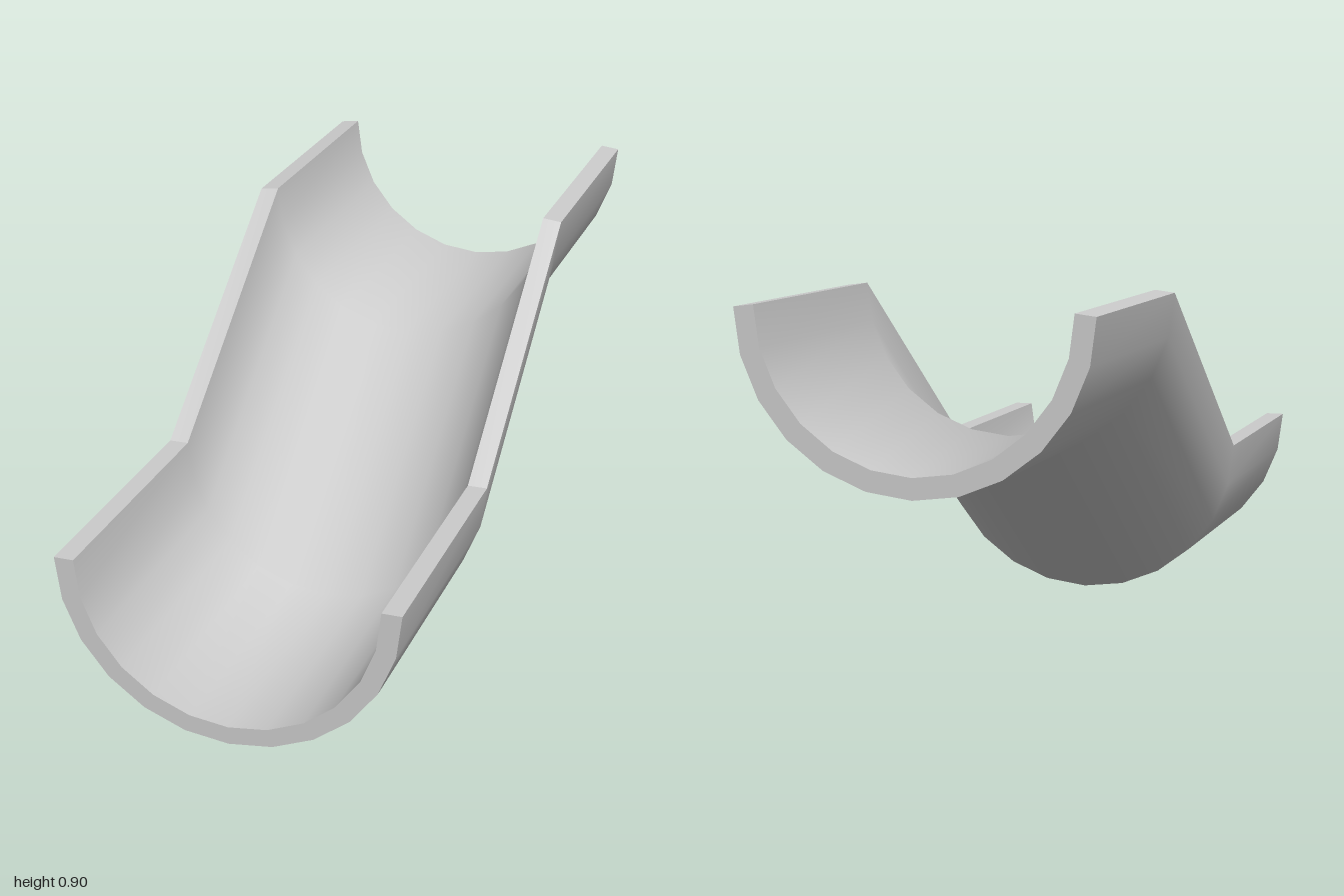
import * as THREE from 'three';

const SEGMENTS = 12;
const RIM = 0.42; // rim height of the lower run

// Stations along the trough: z, lift of the outer skin, lift of the inner skin
const STATIONS = [
  [1, 0, 0],
  [0.333, 0, 0],
  [-0.333, 0.47, 0.476],
  [-1, 0.47, 0.476],
];

// Half-round cross-section from -x to +x through the bottom
function arc(rx, ry, lift, z) {
  return Array.from({ length: SEGMENTS + 1 }, (_, i) => {
    const a = (i / SEGMENTS) * Math.PI;
    return new THREE.Vector3(-rx * Math.cos(a), RIM + lift - ry * Math.sin(a), z);
  });
}

// Smooth sheet through rows of points
function sheet(name, rows, material) {
  const cols = rows[0].length;
  const index = [];
  for (let r = 0; r < rows.length - 1; r++) {
    for (let c = 0; c < cols - 1; c++) {
      const a = r * cols + c;
      index.push(a, a + 1, a + cols, a + 1, a + cols + 1, a + cols);
    }
  }
  const geometry = new THREE.BufferGeometry().setFromPoints(rows.flat());
  geometry.setIndex(index);
  geometry.computeVertexNormals();
  const mesh = new THREE.Mesh(geometry, material);
  mesh.name = name;
  return mesh;
}

export function createModel() {
  const material = new THREE.MeshStandardMaterial({ color: 0xcccccc });
  const outer = STATIONS.map(([z, lift]) => arc(0.425, 0.42, lift, z));
  const inner = STATIONS.map(([z, , lift]) => arc(0.376, 0.375, lift, z));
  const last = STATIONS.length - 1;

  const group = new THREE.Group();
  group.name = 'slopedTrough';
  group.add(
    // Curved skins
    sheet('innerSkin', inner, material),
    sheet('outerSkin', outer.map((row) => [...row].reverse()), material),
    // Open ends
    sheet('frontEnd', [outer[0], inner[0]], material),
    sheet('backEnd', [inner[last], outer[last]], material),
  );

  // Rims; each length gets its own flat facets
  for (let i = 0; i < last; i++) {
    const rim = (s, a, b) => [i, i + 1].map((k) => [a[k][s], b[k][s]]);
    group.add(
      sheet('rightRim', rim(0, outer, inner), material),
      sheet('leftRim', rim(SEGMENTS, inner, outer), material),
    );
  }
  return group;
}
